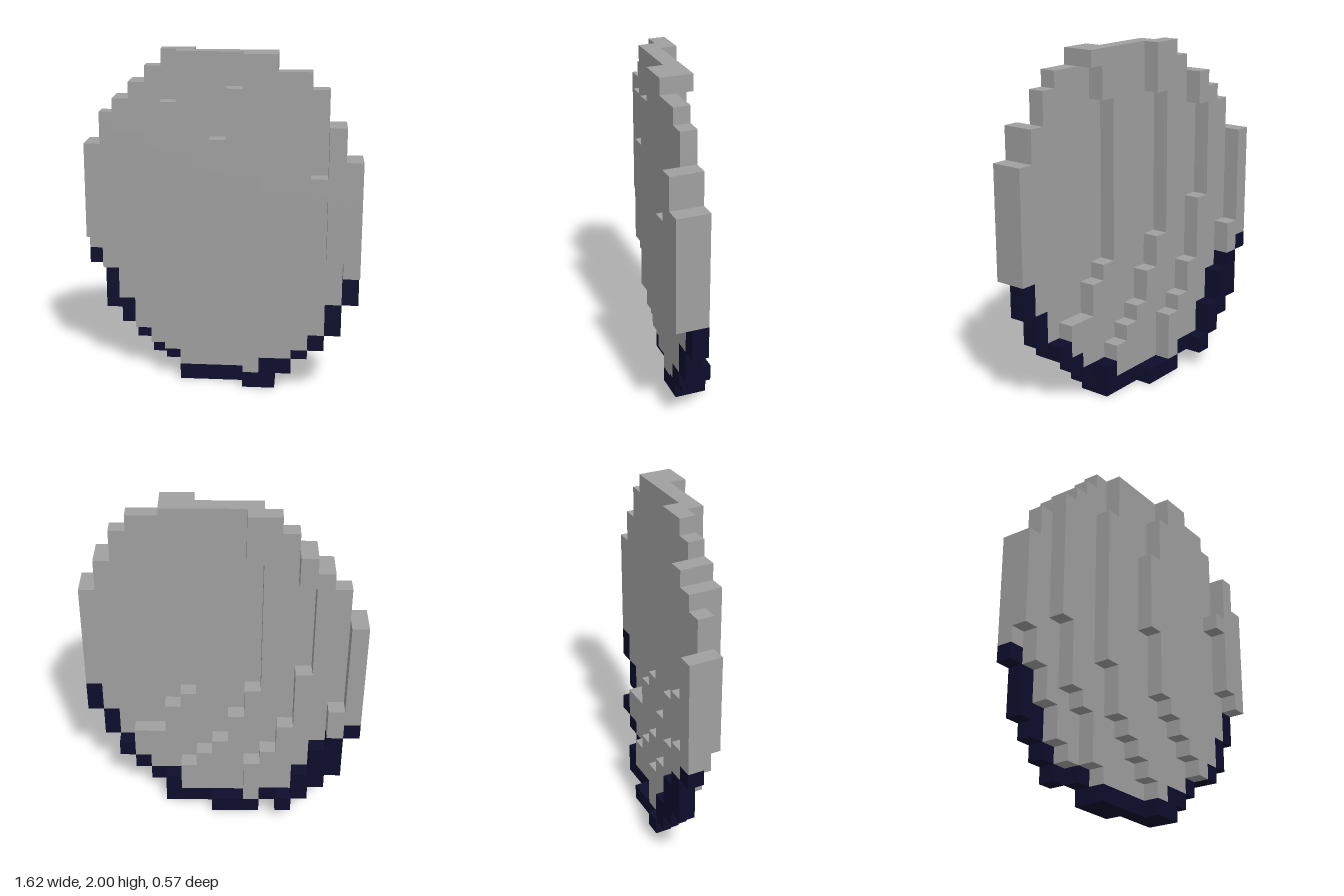
import * as THREE from 'three';
import { mergeGeometries } from 'three/addons/utils/BufferGeometryUtils.js';

const ROWS = 21, COLS = 17, DEPTH = 6;
const S = 2 / ROWS; // block size

// Stepped curve: the column at a row, moving one block inward below each
// "low" row and from each "high" row upward
const steps = (base, low, high = [], dir = 1) => (r) =>
  base + dir * (low.filter((b) => r < b).length + high.filter((b) => r >= b).length);

// Outline of the whole disc
const left = steps(0, [7, 4, 3, 2, 1, 1], [15, 17, 18, 19, 20]);
const right = steps(COLS, [6, 4, 3, 2, 1], [15, 17, 19, 20, 20], -1);

// Inner limits of the dark lower rim
const coreLeft = steps(0, [8, 7, 5, 3, 2, 2]);
const coreRight = steps(COLS, [8, 6, 4, 3, 2, 2], [], -1);

// Bowed slab layers from back to front: first column and end column
const layers = [
  [left, steps(1, [9, 6, 4, 2])],
  [steps(0, [9, 7, 5, 3, 2, 1]), steps(3, [11, 7, 5, 4, 1, 1], [17])],
  [steps(2, [10, 6, 5, 2]), steps(6, [9, 7, 5, 4, 3, 2], [18])],
  [steps(5, [8, 5, 4, 3, 2], [18]), steps(10, [8, 7, 5, 5, 4], [18, 20])],
  [steps(8, [11, 7, 6, 5, 4, 3], [16, 19]), right],
  [steps(14, [13, 9, 8], [14]), right],
];

function filled(c, r, k) {
  if (k < 0 || k >= DEPTH || r < 0 || r >= ROWS) return false;
  const [start, end] = layers[k];
  return c >= Math.max(start(r), left(r)) && c < Math.min(end(r), right(r));
}

const isRim = (c, r, k) =>
  r === 0 || (k === 0 && r < 7) || c < coreLeft(r) || c >= coreRight(r);

// Outward block sides: direction, then the turns about x and y that aim a plane along it
const sides = [
  [1, 0, 0, 0, Math.PI / 2], [-1, 0, 0, 0, -Math.PI / 2],
  [0, 1, 0, -Math.PI / 2, 0], [0, -1, 0, Math.PI / 2, 0],
  [0, 0, 1, 0, 0], [0, 0, -1, 0, Math.PI],
];

// Exposed sides of one block
function blockSides(c, r, k) {
  return sides
    .filter(([dx, dy, dz]) => !filled(c + dx, r + dy, k + dz))
    .map(([dx, dy, dz, rx, ry]) =>
      new THREE.PlaneGeometry(S, S).rotateX(rx).rotateY(ry).translate(
        (c + (1 + dx - COLS) / 2) * S,
        (r + (1 + dy) / 2) * S,
        (k + (1 + dz - DEPTH) / 2) * S));
}

export function createModel() {
  const group = new THREE.Group();
  group.name = 'steppedDisc';
  const grey = new THREE.MeshStandardMaterial({ color: 0xa0a0a0 });
  grey.name = 'grey';
  const navy = new THREE.MeshStandardMaterial({ color: 0x0d0d2d });
  navy.name = 'navy';

  for (let k = 0; k < DEPTH; k++) {
    const panel = [], rim = [];
    for (let r = 0; r < ROWS; r++) {
      for (let c = 0; c < COLS; c++) {
        if (filled(c, r, k)) (isRim(c, r, k) ? rim : panel).push(...blockSides(c, r, k));
      }
    }
    // Grey panel and dark rim of this layer
    for (const [name, quads, material] of [['panelLayer', panel, grey], ['lowerRim', rim, navy]]) {
      if (!quads.length) continue;
      const mesh = new THREE.Mesh(mergeGeometries(quads), material);
      mesh.name = name + (k + 1);
      group.add(mesh);
    }
  }
  return group;
}
